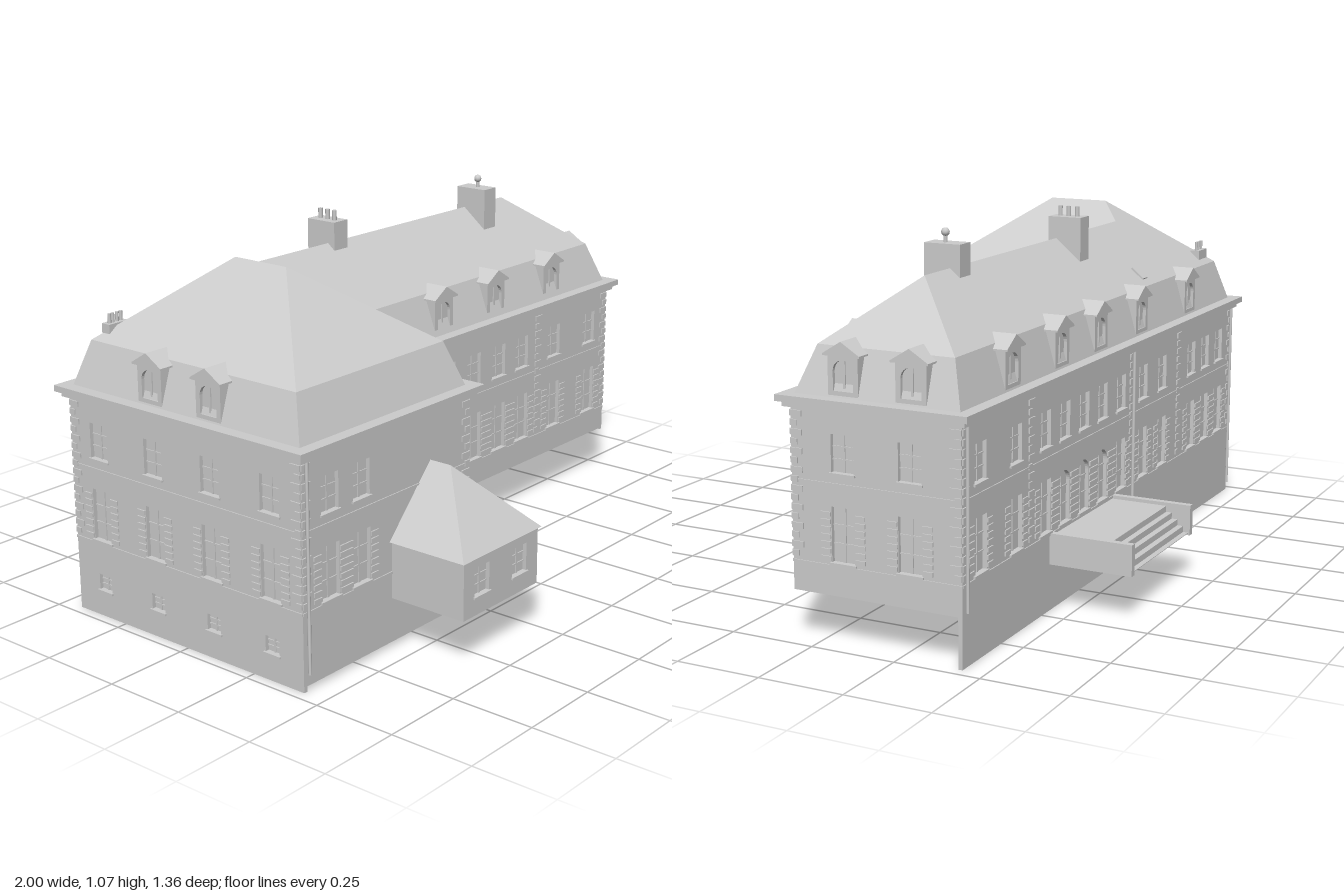
import * as THREE from 'three';
import { mergeGeometries } from 'three/addons/utils/BufferGeometryUtils.js';

const stone = new THREE.MeshStandardMaterial({ color: 0xcccccc, side: THREE.DoubleSide });
stone.name = 'pale grey stone';

// Box from its extents, non-indexed so it can be merged
function block(x0, x1, y0, y1, z0, z1) {
  const g = new THREE.BoxGeometry(x1 - x0, y1 - y0, z1 - z0).toNonIndexed();
  return g.translate((x0 + x1) / 2, (y0 + y1) / 2, (z0 + z1) / 2);
}
function part(parent, name, geos, rot = 0) {
  const m = new THREE.Mesh(mergeGeometries(geos), stone);
  m.name = name;
  m.rotation.y = rot;
  parent.add(m);
  return m;
}
function pipe(x, z, y0, y1, r) {
  return new THREE.CylinderGeometry(r, r, y1 - y0, 8).toNonIndexed().translate(x, (y0 + y1) / 2, z);
}
// Flat faces with normals turned upward
function faces(list) {
  const pos = [];
  for (const f of list) for (let i = 1; i < f.length - 1; i++) {
    const [a, b, c] = [f[0], f[i], f[i + 1]].map(p => new THREE.Vector3(...p));
    const up = b.clone().sub(a).cross(c.clone().sub(a)).y >= 0;
    for (const v of up ? [a, b, c] : [a, c, b]) pos.push(v.x, v.y, v.z);
  }
  const g = new THREE.BufferGeometry();
  g.setAttribute('position', new THREE.Float32BufferAttribute(pos, 3));
  g.setAttribute('uv', new THREE.Float32BufferAttribute(new Float32Array(pos.length / 3 * 2), 2));
  g.computeVertexNormals();
  return g;
}
function outline(pts, Type = THREE.Shape) {
  return new Type(pts.map(p => new THREE.Vector2(...p)));
}
function opening(u, w, y0, y1, arch) {
  const h = w / 2, p = new THREE.Path();
  p.moveTo(u - h, y0);
  p.lineTo(u + h, y0);
  if (arch) p.absarc(u, y1 - h, h, 0, Math.PI, false);
  else { p.lineTo(u + h, y1); p.lineTo(u - h, y1); }
  p.closePath();
  return p;
}

// A facade facing local +z at distance `off`, then turned about y
const T = 0.012;
function wall(parent, name, rot, off, u0, u1, y0, o) {
  const y1 = o.top ?? 0.65;
  const shape = outline([[u0, y0], [u1, y0], [u1, y1], [u0, y1]]);
  const geos = [];
  const trim = (a, b, c, d, t = 0.004) => geos.push(block(a, b, c, d, off, off + t));
  const win = (u, w, a, b, arch) => {
    shape.holes.push(opening(u, w, a, b, arch));
    const z = off - T, h = w / 2, bar = 0.003;
    geos.push(block(u - h, u + h, a, b, z - 0.002, z));
    geos.push(block(u - bar, u + bar, a, b, z, z + 0.003));
    for (const t of [1 / 3, 2 / 3]) {
      const y = a + (b - a) * t;
      geos.push(block(u - h, u + h, y - 0.002, y + 0.002, z, z + 0.003));
    }
    trim(u - h - 0.005, u + h + 0.005, a - 0.006, a, 0.006);
  };
  for (const u of o.upper ?? []) win(u, 0.068, 0.475, 0.578);
  for (const u of o.small ?? []) win(u, 0.05, 0.08, 0.127);
  for (const u of o.annex ?? []) win(u, 0.065, 0.2, 0.282);
  for (const u of o.lower ?? []) {
    const arch = o.arched?.includes(u);
    win(u, 0.07, 0.232, 0.383, arch);
    // Ladder of stones beside each tall window
    for (const s of [-1, 1]) for (let i = 0; i < 7; i++) {
      const c = u + s * 0.052;
      trim(c - 0.015, c + 0.015, 0.236 + i * 0.02, 0.248 + i * 0.02);
    }
  }
  // Corner and intermediate quoins of alternating length
  for (const [u, s] of o.quoins ?? []) for (let i = 0; i < 16; i++) {
    const len = i % 2 ? 0.034 : 0.02, y = 0.235 + i * 0.0253;
    trim(s > 0 ? u : u - len, s < 0 ? u : u + len, y, y + 0.016);
  }
  if (!o.plain) {
    trim(u0, u1, 0.218, 0.225, 0.003);
    trim(u0, u1, 0.442, 0.447, 0.003);
  }
  const w = new THREE.ExtrudeGeometry(shape, { depth: T, bevelEnabled: false, curveSegments: 8 });
  geos.push(w.translate(0, 0, off - T));
  part(parent, name, geos, rot);
}

// Dormer with arched window and gabled hood
function dormer(parent, rot, off, u) {
  const f = outline([[u - 0.045, 0.675], [u + 0.045, 0.675], [u + 0.045, 0.787], [u - 0.045, 0.787]]);
  f.holes.push(opening(u, 0.06, 0.69, 0.772, true));
  const face = new THREE.ExtrudeGeometry(f, { depth: 0.01, bevelEnabled: false, curveSegments: 6 });
  const hood = new THREE.ExtrudeGeometry(
    outline([[u - 0.055, 0.783], [u + 0.055, 0.783], [u + 0.055, 0.788], [u, 0.822], [u - 0.055, 0.788]]),
    { depth: 0.09, bevelEnabled: false });
  part(parent, 'dormer', [
    face.translate(0, 0, off - 0.01), hood.translate(0, 0, off - 0.08),
    block(u - 0.045, u + 0.045, 0.675, 0.785, off - 0.06, off - 0.01),
    block(u - 0.003, u + 0.003, 0.69, 0.772, off - 0.01, off - 0.006)
  ], rot);
}

export function createModel() {
  const root = new THREE.Group();
  root.name = 'manor house';
  const P = Math.PI;

  // Facades: u is x in front, -x behind, -z on the +x side, z on the -x side
  const row = [-0.205, -0.035, 0.1, 0.23, 0.36, 0.485, 0.665, 0.87];
  wall(root, 'mainFrontWall', 0, 0.07, -0.27, 0.97, 0.145,
    { upper: row, lower: row, quoins: [[-0.27, 1], [-0.115, 0], [0.575, 0], [0.97, -1]].map(([u, s]) => s ? [u, s] : [u - 0.017, 1]) });
  wall(root, 'wingFrontWall', 0, 0.43, -0.97, -0.27, 0.015,
    { upper: [-0.86, -0.735], lower: [-0.86, -0.735], quoins: [[-0.97, 1], [-0.27, -1]] });
  const back = [-0.87, -0.665, -0.485, -0.36, -0.23, -0.1, 0.035, 0.205, 0.36, 0.61, 0.735, 0.86];
  wall(root, 'backWall', P, 0.435, -0.97, 0.97, 0,
    { upper: back, lower: back, arched: [-0.36, -0.23, -0.1], quoins: [[-0.97, 1], [-0.592, 1], [0.098, 1], [0.48, 1], [0.97, -1]] });
  wall(root, 'mainRightWall', P / 2, 0.97, -0.07, 0.435, 0.14,
    { upper: [0.085, 0.285], lower: [0.085, 0.285], quoins: [[-0.07, 1], [0.435, -1]] });
  wall(root, 'wingRightWall', P / 2, -0.27, -0.43, -0.07, 0.14,
    { upper: [-0.25], lower: [-0.25], quoins: [[-0.43, 1], [-0.07, -1]] });
  const side = [-0.325, -0.11, 0.105, 0.32];
  wall(root, 'leftWall', -P / 2, 0.97, -0.435, 0.43, 0,
    { upper: side, lower: side, small: side, quoins: [[-0.435, 1], [0.43, -1]] });

  // Stepped cornice around the L-shaped plan
  const plan = d => [[-0.97 - d, -0.435 - d], [0.97 + d, -0.435 - d], [0.97 + d, 0.07 + d],
    [-0.27 + d, 0.07 + d], [-0.27 + d, 0.43 + d], [-0.97 - d, 0.43 + d]];
  const cornice = (d, y, h) => new THREE.ExtrudeGeometry(outline(plan(d).map(([x, z]) => [x, -z])),
    { depth: h, bevelEnabled: false }).rotateX(-P / 2).translate(0, y, 0);
  part(root, 'cornice', [cornice(0.016, 0.64, 0.015), cornice(0.03, 0.655, 0.018)]);

  // Mansard roof: steep skirt, then hipped upper slopes
  const low = plan(-0.008).map(([x, z]) => [x, 0.672, z]);
  const A = [-0.92, 0.8, -0.39], B = [0.92, 0.8, -0.39], C = [0.92, 0.8, 0.015],
    D = [-0.32, 0.8, 0.015], E = [-0.32, 0.8, 0.375], F = [-0.92, 0.8, 0.375];
  const R0 = [-0.545, 0.965, -0.19], R1 = [0.715, 0.965, -0.19];
  const W0 = [-0.62, 1.02, -0.12], W1 = [-0.62, 1.02, 0.07];
  const high = [A, B, C, D, E, F];
  part(root, 'roofSkirt', [faces(low.map((p, i) => [p, low[(i + 1) % 6], high[(i + 1) % 6], high[i]]))]);
  part(root, 'upperRoof', [faces([[A, B, R1, R0, W0], [B, C, R1], [D, C, R1, R0],
    [W1, E, D, R0, W0], [F, E, W1], [A, F, W1, W0]])]);

  // Dormers on all sides
  for (const x of [0.095, 0.36, 0.665]) dormer(root, 0, 0.055, x);
  for (const x of [-0.61, -0.21, 0.095, 0.36, 0.665]) dormer(root, P, 0.425, -x);
  for (const z of [-0.085, -0.285]) dormer(root, P / 2, 0.96, -z);
  for (const z of [-0.12, 0.1]) dormer(root, -P / 2, 0.96, z);

  // Chimneys with pots
  part(root, 'middleChimney', [block(-0.155, -0.095, 0.88, 1.03, -0.27, -0.165),
    ...[-0.245, -0.217, -0.19].map(z => pipe(-0.125, z, 1.03, 1.06, 0.007))]);
  part(root, 'rightChimney', [block(0.515, 0.575, 0.85, 1.03, -0.22, -0.11), pipe(0.545, -0.16, 1.03, 1.05, 0.006),
    new THREE.SphereGeometry(0.012, 10, 8).toNonIndexed().translate(0.545, 1.058, -0.16)]);
  part(root, 'cornerChimney', [block(-0.895, -0.825, 0.76, 0.845, -0.372, -0.342),
    ...[-0.88, -0.868, -0.852, -0.838].map(x => pipe(x, -0.357, 0.845, 0.872, 0.005))]);
  const skylight = part(root, 'skylight', [block(-0.018, 0.018, -0.003, 0.006, -0.025, 0.025)]);
  skylight.position.set(-0.36, 0.832, -0.35);
  skylight.rotation.x = -Math.atan(0.825);

  // Front annex with hipped roof against the wing
  const annex = new THREE.Group();
  annex.name = 'annex';
  root.add(annex);
  wall(annex, 'annexFront', 0, 0.675, -0.61, -0.275, 0.145, { plain: true, top: 0.315, annex: [-0.53, -0.36] });
  wall(annex, 'annexRight', P / 2, -0.275, -0.675, -0.43, 0.145, { plain: true, top: 0.315 });
  wall(annex, 'annexLeft', -P / 2, 0.61, 0.43, 0.675, 0.145, { plain: true, top: 0.315 });
  const a = [-0.62, 0.312, 0.43], b = [-0.62, 0.312, 0.682], c = [-0.267, 0.312, 0.682], d = [-0.267, 0.312, 0.43];
  const r0 = [-0.444, 0.5, 0.43], r1 = [-0.444, 0.5, 0.5];
  part(annex, 'annexRoof', [faces([[a, b, r1, r0], [b, c, r1], [c, d, r0, r1]])]);

  // Back terrace: cheek walls, deck and descending steps
  const terrace = [block(0, 0.02, 0.135, 0.225, -0.682, -0.435), block(0.435, 0.455, 0.135, 0.225, -0.682, -0.435),
    block(0.02, 0.435, 0.205, 0.215, -0.605, -0.435)];
  for (let i = 0; i < 4; i++) {
    const z = -0.605 - i * 0.018, y = 0.215 - i * 0.018;
    terrace.push(block(0.02, 0.435, y - 0.018, y, z - 0.002, z));
    terrace.push(block(0.02, 0.435, y - 0.02, y - 0.018, z - 0.018, z));
  }
  part(root, 'terraceSteps', terrace);

  // Downpipes
  part(root, 'downpipes', [pipe(-0.955, 0.438, 0.05, 0.645, 0.005), pipe(-0.262, 0.078, 0.175, 0.645, 0.005),
    pipe(-0.115, -0.443, 0.03, 0.645, 0.005), pipe(-0.955, -0.443, 0.03, 0.645, 0.005),
    pipe(0.955, -0.443, 0.15, 0.645, 0.005)]);
  return root;
}
